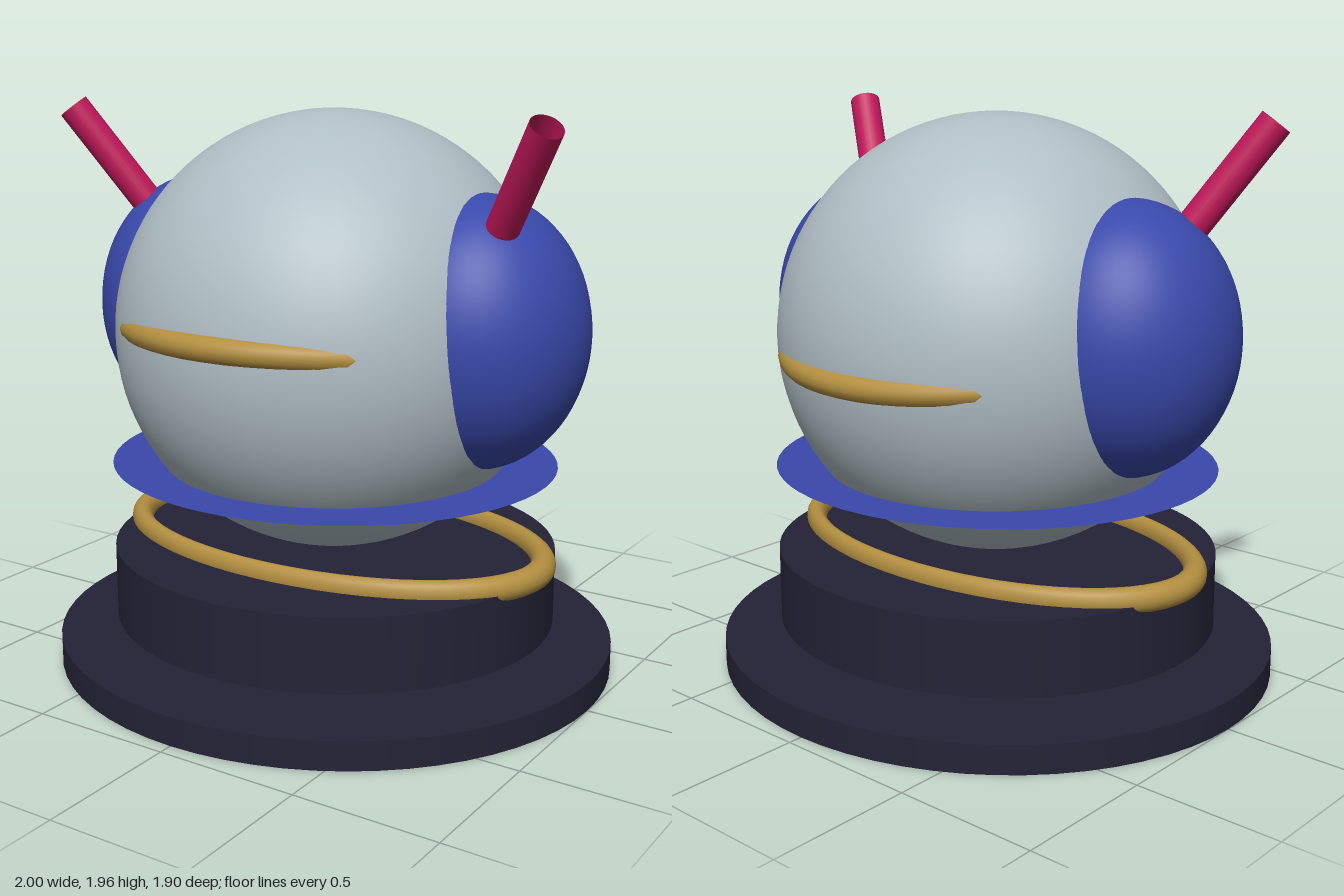
import * as THREE from 'three';

const grey = new THREE.MeshStandardMaterial({ name: 'shellGrey', color: 0xb0bec5 });
const blue = new THREE.MeshStandardMaterial({ name: 'blue', color: 0x3949ab });
const dark = new THREE.MeshStandardMaterial({ name: 'darkBase', color: 0x232336 });
const gold = new THREE.MeshStandardMaterial({ name: 'gold', color: 0xb38f40 });
const pink = new THREE.MeshStandardMaterial({ name: 'pink', color: 0xc2185b, side: THREE.DoubleSide });

const DEPTH = 0.952; // the round parts are slightly oval

export function createModel() {
  const model = new THREE.Group();

  const add = (name, geometry, material, x = 0, y = 0, z = 0) => {
    const mesh = new THREE.Mesh(geometry, material);
    mesh.name = name;
    mesh.position.set(x, y, z);
    model.add(mesh);
    return mesh;
  };

  // Stand: wide foot, and a drum floating just above it
  add('foot', new THREE.CylinderGeometry(1, 1, 0.1, 64).scale(1, 1, DEPTH), dark, 0, 0.05);
  add('drum', new THREE.CylinderGeometry(0.793, 0.793, 0.26, 64).scale(1, 1, DEPTH), dark, 0, 0.29);

  // Oval ring lying on the drum
  const ring = new THREE.TorusGeometry(0.795, 0.045, 16, 64).rotateX(Math.PI / 2).scale(1, 1, 0.595);
  add('drumRing', ring, gold, 0, 0.43);

  // Head, with a flaring collar around its underside
  add('head', new THREE.SphereGeometry(0.755, 64, 48), grey, 0, 1.185);
  const collar = new THREE.CylinderGeometry(0.793, 0.42, 0.109, 64).scale(1, 1, DEPTH);
  add('collar', collar, blue, 0, 0.6655);

  // Tilted oval band that surfaces only at the front and back of the head
  const band = new THREE.TorusGeometry(0.745, 0.043, 14, 56).rotateX(Math.PI / 2).scale(0.9, 1, 1);
  add('headBand', band, gold, 0, 1.185).rotation.x = -0.083;

  // Side pods, each with a hollow antenna leaning out and forward
  const up = new THREE.Vector3(0, 1, 0);
  for (const [side, s] of [['left', 1], ['right', -1]]) {
    const pod = new THREE.SphereGeometry(1, 48, 36).scale(0.37, 0.457, 0.385);
    add(side + 'Pod', pod, blue, s * 0.56, 1.232);

    const from = new THREE.Vector3(s * 0.69, 1.565, 0.125);
    const to = new THREE.Vector3(s * 0.918, 1.93, 0.278);
    const tube = new THREE.CylinderGeometry(0.055, 0.055, from.distanceTo(to), 24, 1, true);
    const antenna = add(side + 'Antenna', tube, pink);
    antenna.position.lerpVectors(from, to, 0.5);
    antenna.quaternion.setFromUnitVectors(up, to.clone().sub(from).normalize());
  }

  return model;
}
